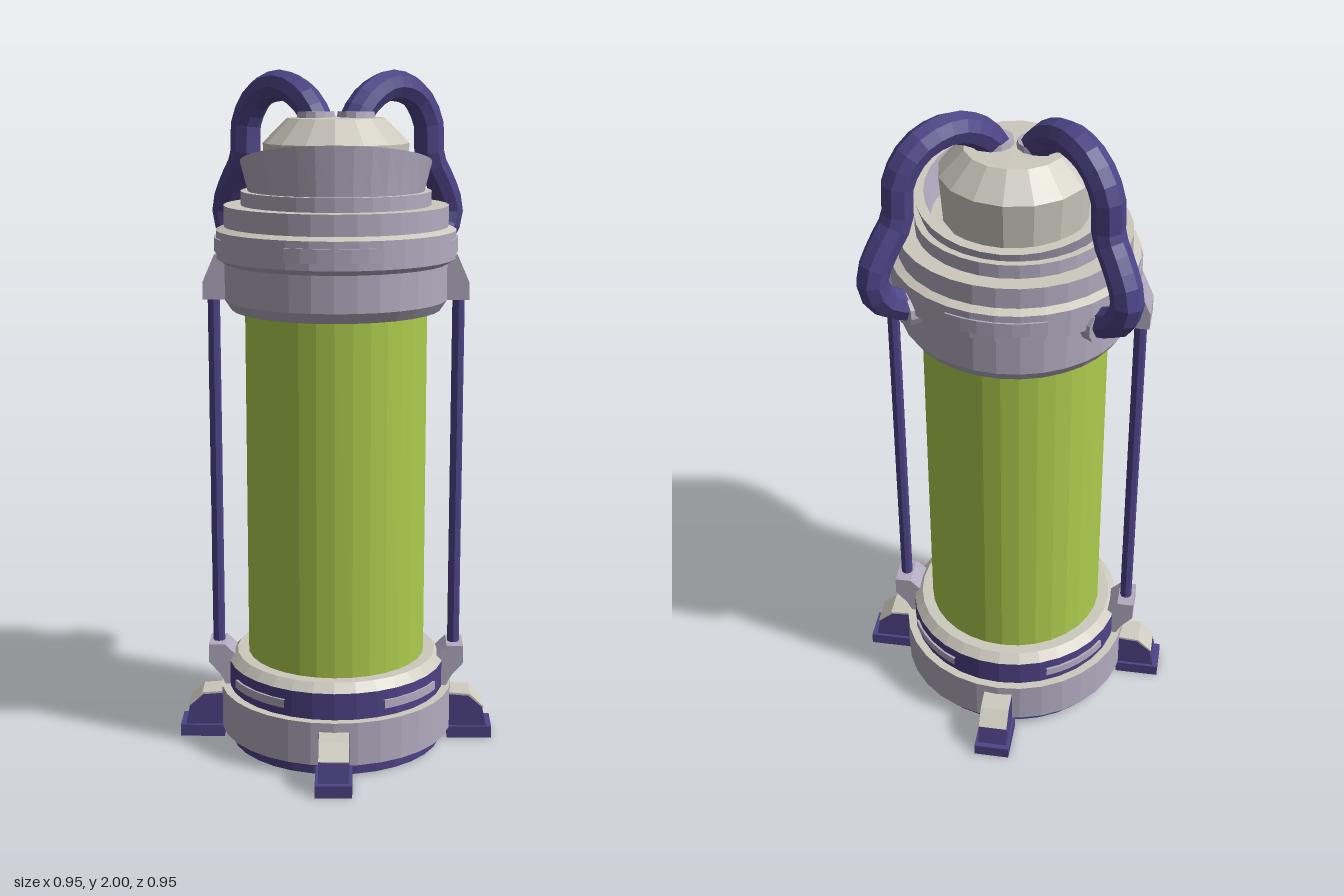
import * as THREE from 'three';

const mat = (name, color) => {
  const m = new THREE.MeshStandardMaterial({ color });
  m.name = name;
  return m;
};

export function createModel() {
  const model = new THREE.Group();
  model.name = 'containmentTank';
  const lilac = mat('lilac metal', 0xb2abbf);
  const ivory = mat('ivory metal', 0xcdc9be);
  const purple = mat('dark purple', 0x4d4386);
  const green = mat('green glass', 0xaecc4d);

  // Faceted mesh helper
  const add = (parent, name, geo, material) => {
    const g = geo.index ? geo.toNonIndexed() : geo;
    g.computeVertexNormals();
    const mesh = new THREE.Mesh(g, material);
    mesh.name = name;
    parent.add(mesh);
    return mesh;
  };
  const lathe = (pts, seg = 32, start = 0, sweep = Math.PI * 2) =>
    new THREE.LatheGeometry(pts.map(p => new THREE.Vector2(...p)), seg, start, sweep);
  const turned = (name, material, pts, seg) => add(model, name, lathe(pts, seg), material);
  // Outline in x-y, extruded evenly to both sides of z = 0
  const slab = (pts, width) =>
    new THREE.ExtrudeGeometry(new THREE.Shape(pts.map(p => new THREE.Vector2(...p))),
      { depth: width, bevelEnabled: false }).translate(0, 0, -width / 2);
  // Raised curved plate centred on an angle
  const arcPlate = (name, material, r, y0, y1, angle, half) =>
    add(model, name, lathe([[r - 0.02, y0], [r, y0], [r, y1], [r - 0.02, y1]], 6, angle - half, half * 2), material);

  // Base
  turned('baseDisc', purple, [[0, 0], [0.32, 0], [0.32, 0.04]]);
  turned('baseRing', lilac, [[0.31, 0.04], [0.35, 0.04], [0.35, 0.17]]);
  turned('baseRingTop', ivory, [[0.35, 0.17], [0.31, 0.17]]);
  turned('baseBand', purple, [[0.325, 0.17], [0.325, 0.25]]);
  turned('baseBevel', ivory, [[0.325, 0.25], [0.30, 0.275], [0.25, 0.275]]);

  // Glass
  turned('glassCylinder', green, [[0.266, 0.27], [0.266, 1.33]]);

  // Upper collar
  turned('collar', lilac, [[0.25, 1.32], [0.305, 1.32], [0.325, 1.35], [0.325, 1.455], [0.348, 1.47], [0.348, 1.55]]);
  turned('collarLedge', ivory, [[0.348, 1.55], [0.325, 1.56]]);
  turned('collarUpper', lilac, [[0.325, 1.56], [0.325, 1.62]]);
  turned('collarTop', ivory, [[0.325, 1.62], [0.275, 1.62]]);
  turned('collarStep', lilac, [[0.275, 1.62], [0.275, 1.66]]);
  turned('collarStepTop', ivory, [[0.275, 1.66], [0.15, 1.66]]);

  // Panels on the band and collar
  for (let i = 0; i < 4; i++) {
    const a = i * Math.PI / 2;
    arcPlate('bandPanel', lilac, 0.331, 0.195, 0.22, a + Math.PI / 4, 0.33);
    arcPlate('collarPanel', lilac, 0.353, 1.49, 1.53, a, 0.4);
  }

  // Cup with its rim cut at a slope, high at the front
  const slope = geo => {
    const p = geo.attributes.position;
    for (let i = 0; i < p.count; i++) {
      if (p.getY(i) < 1.7) continue;
      p.setY(i, 1.741 + 0.227 * p.getZ(i));
      p.setX(i, p.getX(i) * 1.06);
    }
    return geo;
  };
  add(model, 'cupOuter', slope(lathe([[0.255, 1.66], [0.26, 1.75]])), lilac);
  add(model, 'cupRim', slope(lathe([[0.26, 1.75], [0.235, 1.75]])), ivory);
  add(model, 'cupInner', slope(lathe([[0.235, 1.75], [0.23, 1.66]])), lilac);

  // Cap
  turned('cap', ivory, [[0.2, 1.66], [0.21, 1.795], [0.2, 1.805], [0.14, 1.865], [0, 1.868]], 16);

  // Hoses and their sockets
  for (const s of [1, -1]) {
    const path = new THREE.CatmullRomCurve3([
      [0.05, 1.85, 0], [0.08, 1.905, -0.03], [0.15, 1.953, -0.105], [0.225, 1.93, -0.18],
      [0.27, 1.85, -0.215], [0.278, 1.74, -0.22], [0.315, 1.66, -0.255],
      [0.338, 1.58, -0.28], [0.315, 1.51, -0.26], [0.23, 1.455, -0.185],
    ].map(([x, y, z]) => new THREE.Vector3(s * x, y, z)));
    add(model, s > 0 ? 'leftHose' : 'rightHose', new THREE.TubeGeometry(path, 22, 0.045, 8), purple);
    add(model, 'capSocket', new THREE.CylinderGeometry(0.052, 0.056, 0.022, 12), lilac).position.set(s * 0.057, 1.872, 0);
    const socket = add(model, 'collarSocket', new THREE.CylinderGeometry(0.052, 0.056, 0.05, 12), lilac);
    socket.position.set(s * 0.254, 1.468, -0.212);
    socket.quaternion.setFromUnitVectors(new THREE.Vector3(0, 1, 0), new THREE.Vector3(s * 0.76, 0, -0.65).normalize());
  }

  // Side rods with brackets
  for (let i = 0; i < 2; i++) {
    const side = new THREE.Group();
    side.name = i ? 'rightRod' : 'leftRod';
    side.rotation.y = i * Math.PI;
    add(side, 'rod', new THREE.CylinderGeometry(0.018, 0.018, 1.1, 8), purple).position.set(0.357, 0.82, 0);
    add(side, 'lowerBracket', slab([[0.3, 0.17], [0.335, 0.17], [0.35, 0.2], [0.385, 0.24], [0.385, 0.295], [0.335, 0.295], [0.3, 0.26]], 0.1), lilac);
    add(side, 'upperBracket', slab([[0.31, 1.35], [0.385, 1.35], [0.385, 1.4], [0.35, 1.48], [0.31, 1.48]], 0.1), lilac);
    model.add(side);
  }

  // Feet
  for (let i = 0; i < 4; i++) {
    const foot = new THREE.Group();
    foot.name = 'foot';
    foot.rotation.y = i * Math.PI / 2;
    add(foot, 'footPad', new THREE.BoxGeometry(0.135, 0.036, 0.106), purple).position.set(0.4075, 0.018, 0);
    add(foot, 'footBody', slab([[0.33, 0.03], [0.46, 0.03], [0.447, 0.095], [0.405, 0.132], [0.33, 0.138]], 0.088), purple);
    add(foot, 'footPlate', slab([[0.33, 0.136], [0.405, 0.13], [0.447, 0.093], [0.451, 0.098], [0.408, 0.138], [0.33, 0.144]], 0.086), ivory);
    model.add(foot);
  }
  return model;
}
